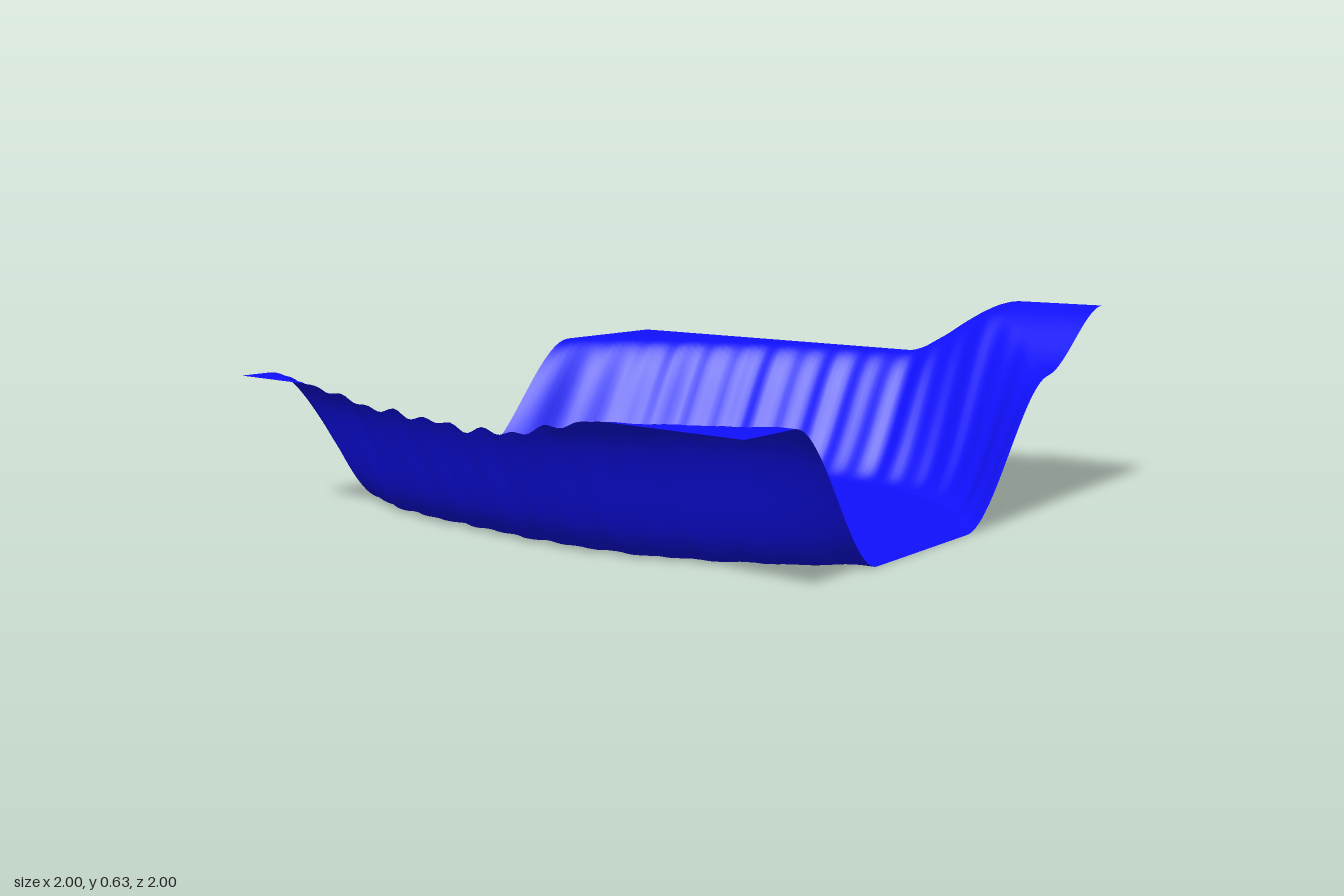
import * as THREE from 'three';

// Basin outline per row, z = -1 to 1 in steps of 0.2: [left top, left foot, right foot, right top]
const ROWS = [
  [-0.89, -0.46, 0.01, 0.52],
  [-0.97, -0.60, 0.27, 0.66],
  [-1.03, -0.68, 0.41, 0.75],
  [-1.07, -0.71, 0.50, 0.83],
  [-1.08, -0.72, 0.55, 0.89],
  [-1.09, -0.73, 0.585, 0.93],
  [-1.09, -0.72, 0.595, 0.95],
  [-1.05, -0.69, 0.585, 0.96],
  [-0.98, -0.62, 0.52, 0.93],
  [-0.88, -0.52, 0.37, 0.82],
  [-0.78, -0.38, 0.12, 0.63],
];
const SHELF = 0.43; // height of the plateau around the basin
const HILL = 0.2;   // extra rise in the front corner

// Smooth 0..1 ramp from a to b, in either direction
function ramp(v, a, b) {
  const t = THREE.MathUtils.clamp((v - a) / (b - a), 0, 1);
  return t * t * (3 - 2 * t);
}

// Smooth curve through one column of the outline
function outlineCurve(column) {
  const points = ROWS.map((row, i) => new THREE.Vector2(-1 + i * 0.2, row[column]));
  const curve = new THREE.SplineCurve(points);
  return (z) => curve.getPoint((z + 1) / 2).y;
}

export function createModel() {
  const [leftTop, leftFoot, rightFoot, rightTop] = [0, 1, 2, 3].map(outlineCurve);

  function height(x, z) {
    // Slight erosion ripples running along the banks
    const ripple = 0.006 * Math.sin(z * 52) + 0.004 * Math.sin(z * 31 + 1);
    const leftBank = ramp(x + ripple, leftFoot(z), leftTop(z));
    const rightBank = ramp(x + ripple, rightFoot(z), rightTop(z));
    let y = SHELF * Math.max(leftBank, rightBank);
    // Raised front corner
    y += HILL * ramp(x, 0.6, 1) * ramp(z, 0.25, 0.7);
    // Low lip and small mound on the back edge
    const lip = ramp(z, -0.94, -1) * (1 - Math.max(leftBank, rightBank));
    y += 0.02 * lip;
    y += 0.03 * Math.exp(-((x - 0.06) ** 2 + (z + 1) ** 2) / 0.0025);
    return y;
  }

  // Square sheet lifted into shape
  const geometry = new THREE.PlaneGeometry(2, 2, 110, 110);
  geometry.rotateX(-Math.PI / 2);
  const position = geometry.attributes.position;
  for (let i = 0; i < position.count; i++) {
    position.setY(i, height(position.getX(i), position.getZ(i)));
  }
  geometry.computeVertexNormals();

  const material = new THREE.MeshStandardMaterial({ color: 0x1010ff, side: THREE.DoubleSide });
  const terrain = new THREE.Mesh(geometry, material);
  terrain.name = 'basinTerrain';

  const group = new THREE.Group();
  group.name = 'terrain';
  group.add(terrain);
  return group;
}
